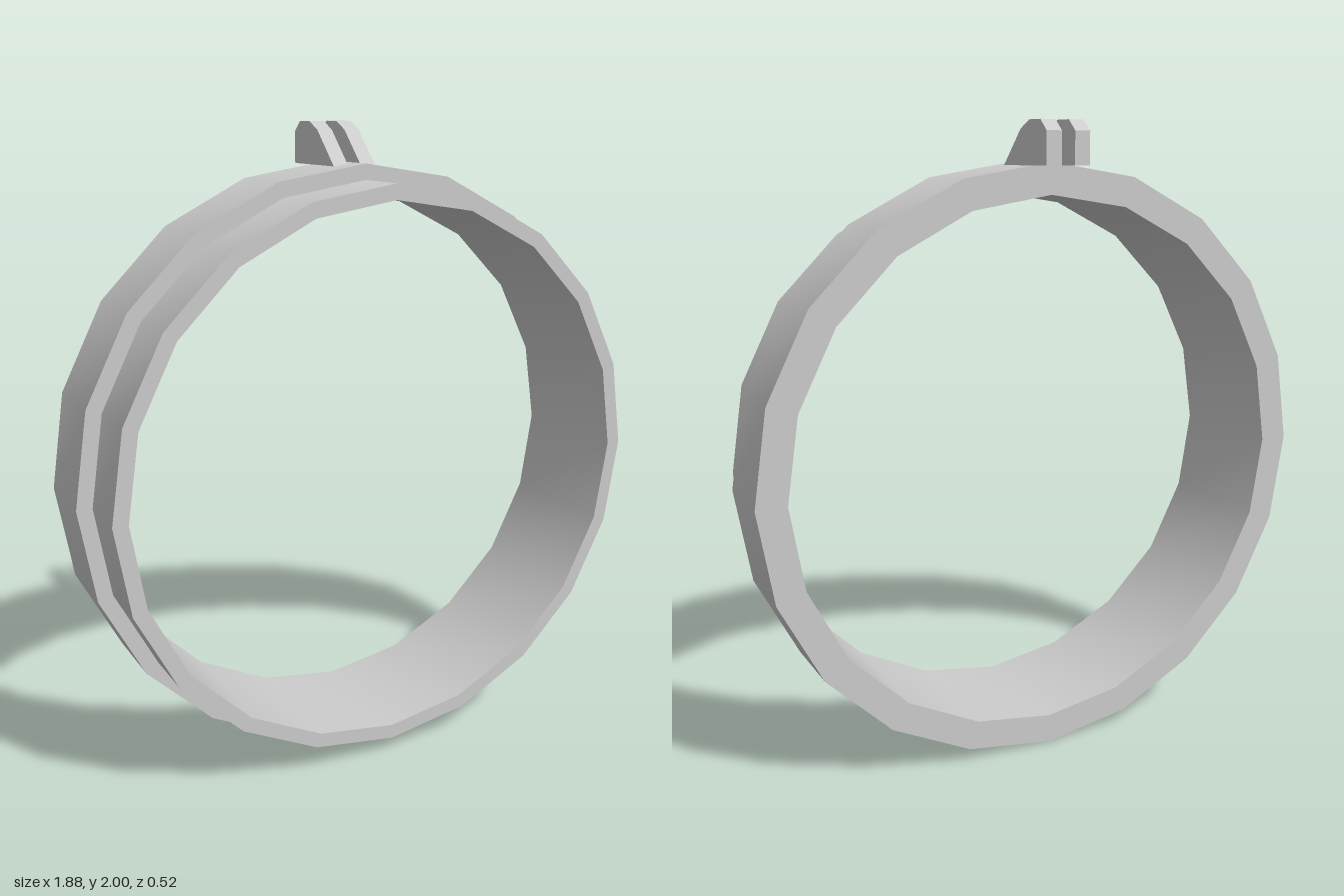
import * as THREE from 'three';
import { toCreasedNormals } from 'three/addons/utils/BufferGeometryUtils.js';

const SIDES = 20;
const CENTRE_Y = 0.94;

export function createModel() {
  const group = new THREE.Group();
  const material = new THREE.MeshStandardMaterial({ color: 0xcccccc });

  function add(name, geometry) {
    const mesh = new THREE.Mesh(geometry, material);
    mesh.name = name;
    group.add(mesh);
    return mesh;
  }

  // Stepped ring: closed cross-section (radius, depth) turned about the z axis
  const section = [
    [0.845, -0.165], [0.94, -0.165], [0.94, 0.077],
    [0.892, 0.077], [0.892, 0.26], [0.845, 0.26], [0.845, -0.165],
  ].map(([r, d]) => new THREE.Vector2(r, d));
  const ring = new THREE.LatheGeometry(section, SIDES);
  ring.rotateX(Math.PI / 2);
  add('steppedRing', toCreasedNormals(ring, 0.6)).position.y = CENTRE_Y;

  // Pair of hinge lugs on top, overhanging the back: outline in (z, y)
  const outline = new THREE.Shape([
    [0.005, 1.87], [-0.26, 1.87], [-0.26, 1.968], [-0.222, 2],
    [-0.155, 2], [-0.102, 1.975],
  ].map(([z, y]) => new THREE.Vector2(z, y)));
  const thickness = 0.05;
  for (const [name, x] of [['leftHingeLug', 0.047], ['rightHingeLug', -0.047]]) {
    const lug = new THREE.ExtrudeGeometry(outline, { depth: thickness, bevelEnabled: false });
    lug.translate(0, 0, -thickness / 2);
    lug.rotateY(-Math.PI / 2);
    add(name, lug).position.x = x;
  }

  return group;
}
